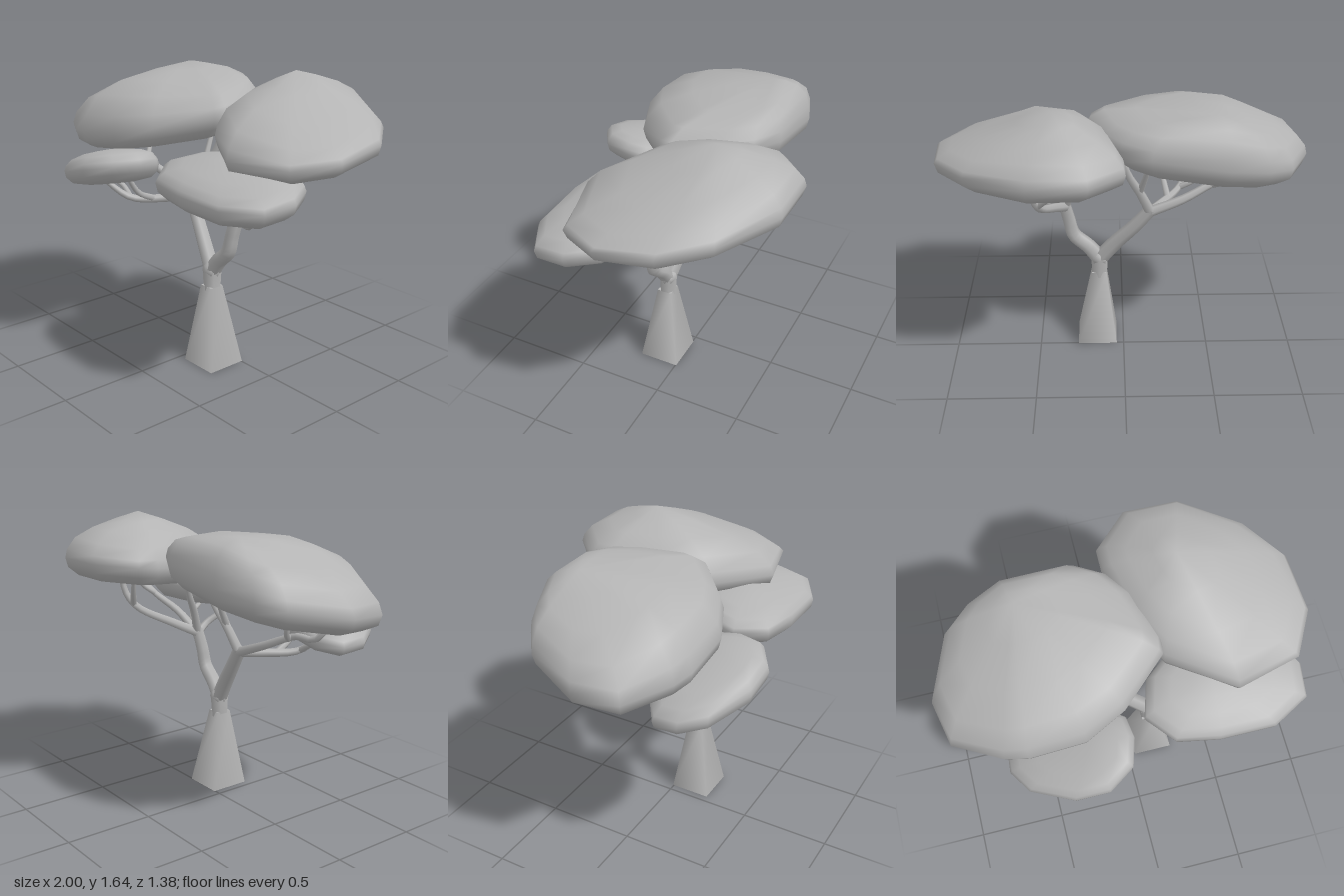
import * as THREE from 'three';
import { mergeVertices } from 'three/addons/utils/BufferGeometryUtils.js';

const grey = new THREE.MeshStandardMaterial({ color: 0xb4b4b4 });
grey.name = 'grey';

// Tapered limb along a path of [x, y, z] points, radius going from r0 to r1
function limb(name, points, r0, r1, sides = 6) {
  const curve = new THREE.CatmullRomCurve3(points.map(p => new THREE.Vector3(...p)), false, 'centripetal');
  const steps = points.length * 3;
  const geo = new THREE.TubeGeometry(curve, steps, 1, sides, false);
  const pos = geo.attributes.position;
  const v = new THREE.Vector3();
  for (let i = 0; i <= steps; i++) {
    const c = curve.getPointAt(i / steps);
    const r = THREE.MathUtils.lerp(r0, r1, i / steps);
    for (let j = 0; j <= sides; j++) {
      const k = i * (sides + 1) + j;
      v.fromBufferAttribute(pos, k).sub(c).multiplyScalar(r).add(c);
      pos.setXYZ(k, v.x, v.y, v.z);
    }
  }
  const mesh = new THREE.Mesh(geo, grey);
  mesh.name = name;
  return mesh;
}

// Flattened foliage cushion: the outline [x, z] is lofted over a tilted plane y = a + bx + cz.
// Each ring is [scale, height]; thin = how fast the dome thins away from its peak towards +x, -x, +z, -z.
const RINGS = [[0, -1], [0.5, -0.98], [0.84, -0.8], [0.97, -0.43], [1, 0], [0.97, 0.3], [0.86, 0.65], [0.62, 0.86], [0.3, 0.96], [0, 1]];
function canopy(name, { outline, plane: [a, b, c], peak, up, down, thin }) {
  const n = outline.length;
  const mid = [0, 1].map(k => outline.reduce((s, p) => s + p[k], 0) / n);
  const verts = [], index = [];
  RINGS.forEach(([s, h], r) => {
    const [cx, cz] = h > 0 ? peak : mid;
    outline.forEach(([px, pz], i) => {
      const x = cx + (px - cx) * s, z = cz + (pz - cz) * s;
      const dx = x - peak[0], dz = z - peak[1];
      const dome = up - Math.abs(dx) * thin[dx > 0 ? 0 : 1] - Math.abs(dz) * thin[dz > 0 ? 2 : 3];
      verts.push(x, a + b * x + c * z + h * (h > 0 ? dome : down), z);
      if (r === 0) return;
      const j = (i + 1) % n, lo = (r - 1) * n, hi = r * n;
      if (r > 1) index.push(lo + i, lo + j, hi + j);
      if (r < RINGS.length - 1) index.push(lo + i, hi + j, hi + i);
    });
  });
  // weld the poles so the shading is smooth across them
  let geo = new THREE.BufferGeometry();
  geo.setAttribute('position', new THREE.Float32BufferAttribute(verts, 3));
  geo.setIndex(index);
  geo = mergeVertices(geo, 1e-5);
  geo.computeVertexNormals();
  const mesh = new THREE.Mesh(geo, grey);
  mesh.name = name;
  return mesh;
}

export function createModel() {
  const tree = new THREE.Group();
  tree.name = 'tree';

  // Flared square trunk, leaning slightly
  const trunkGeo = new THREE.CylinderGeometry(0.06, 0.163, 0.46, 4);
  trunkGeo.rotateY(Math.PI / 4);
  trunkGeo.translate(0, 0.23, 0);
  const p = trunkGeo.attributes.position;
  for (let i = 0; i < p.count; i++) p.setX(i, p.getX(i) - 0.033 * p.getY(i));
  const trunk = new THREE.Mesh(trunkGeo, grey);
  trunk.name = 'trunk';
  trunk.position.set(0.157, 0, 0.11);
  tree.add(trunk);

  // Neck and rounded fork
  tree.add(limb('trunkNeck', [[0.142, 0.43, 0.108], [0.14, 0.49, 0.107], [0.14, 0.55, 0.106]], 0.049, 0.055));
  const fork = new THREE.Mesh(new THREE.SphereGeometry(0.055, 8, 6), grey);
  fork.name = 'fork';
  fork.position.set(0.14, 0.55, 0.106);
  tree.add(fork);

  // Two main boughs
  tree.add(limb('rightBough', [[0.14, 0.54, 0.106], [0.05, 0.66, 0.08], [-0.06, 0.79, 0.045], [-0.16, 0.92, 0.02]], 0.047, 0.036));
  tree.add(limb('leftBough', [[0.14, 0.54, 0.106], [0.2, 0.62, 0.11], [0.285, 0.7, 0.115], [0.31, 0.8, 0.11], [0.335, 0.92, 0.09]], 0.046, 0.036));

  // Branches and twigs of the right bough
  const rightBranches = [
    [[[-0.15, 0.9, 0.02], [-0.09, 1.04, -0.02], [-0.03, 1.16, -0.06], [0.03, 1.34, -0.1]], 0.03, 0.015],
    [[[-0.09, 1.05, -0.02], [-0.11, 1.14, -0.07], [-0.14, 1.29, -0.15]], 0.02, 0.012],
    [[[-0.15, 0.9, 0.02], [-0.33, 0.97, 0.03], [-0.54, 1.06, 0.08], [-0.7, 1.08, 0.08], [-0.77, 1.2, 0.12]], 0.03, 0.013],
    [[[-0.5, 1.04, 0.07], [-0.56, 1.1, 0.0], [-0.6, 1.22, -0.02]], 0.018, 0.012],
    [[[-0.15, 0.9, 0.02], [-0.22, 0.89, 0.14], [-0.33, 0.9, 0.31], [-0.42, 1.02, 0.44]], 0.03, 0.014],
    [[[-0.26, 0.89, 0.2], [-0.24, 0.95, 0.32], [-0.21, 1.08, 0.42]], 0.02, 0.012],
    [[[-0.33, 0.9, 0.31], [-0.42, 0.95, 0.3], [-0.52, 1.0, 0.34]], 0.018, 0.012],
  ];
  rightBranches.forEach(([pts, r0, r1], i) => tree.add(limb('rightBranch' + (i + 1), pts, r0, r1)));

  // Branches and twigs of the left bough
  const leftBranches = [
    [[[0.33, 0.9, 0.09], [0.38, 0.97, -0.05], [0.45, 1.08, -0.25], [0.48, 1.17, -0.31], [0.49, 1.29, -0.33]], 0.031, 0.016],
    [[[0.46, 1.1, -0.27], [0.38, 1.19, -0.32], [0.32, 1.3, -0.35]], 0.02, 0.012],
    [[[0.33, 0.9, 0.09], [0.28, 1.04, 0.03], [0.22, 1.17, -0.05], [0.18, 1.32, -0.1]], 0.026, 0.013],
    [[[0.33, 0.89, 0.09], [0.5, 0.92, 0.18], [0.64, 0.99, 0.27], [0.7, 1.08, 0.25]], 0.03, 0.014],
    [[[0.58, 0.96, 0.23], [0.62, 1.0, 0.32], [0.64, 1.08, 0.36]], 0.018, 0.012],
    [[[0.33, 0.89, 0.09], [0.45, 1.01, 0.04], [0.63, 1.13, -0.04], [0.7, 1.26, -0.08]], 0.027, 0.013],
    [[[0.6, 1.11, -0.03], [0.63, 1.17, -0.1], [0.62, 1.27, -0.14]], 0.018, 0.012],
    [[[0.33, 0.89, 0.09], [0.36, 0.94, 0.18], [0.32, 1.01, 0.27], [0.31, 1.09, 0.31]], 0.024, 0.013],
  ];
  leftBranches.forEach(([pts, r0, r1], i) => tree.add(limb('leftBranch' + (i + 1), pts, r0, r1)));

  // Four foliage cushions
  tree.add(canopy('rightUpperCanopy', {
    outline: [[-1, 0.04], [-0.95, 0.28], [-0.7, 0.42], [-0.58, 0.45], [-0.28, 0.45], [-0.06, 0.35], [0.19, 0.13],
      [0.2, 0.06], [0.12, -0.2], [0.02, -0.34], [-0.13, -0.43], [-0.53, -0.44], [-0.74, -0.37], [-0.87, -0.27]],
    plane: [1.4, 0.15, -0.12], peak: [-0.48, -0.24], up: 0.242, down: 0.14, thin: [0.17, 0.2, -0.1, 0],
  }));
  tree.add(canopy('leftUpperCanopy', {
    outline: [[0, -0.4], [0.07, -0.09], [0.2, 0.14], [0.54, 0.36], [0.88, 0.27], [1, 0.04],
      [0.97, -0.27], [0.8, -0.49], [0.48, -0.685], [0.18, -0.69], [0, -0.52]],
    plane: [1.345, -0.02, -0.11], peak: [0.36, -0.29], up: 0.275, down: 0.12, thin: [0.31, 0.3, 0.07, 0.2],
  }));
  tree.add(canopy('rightLowerCanopy', {
    outline: [[-0.7, 0.43], [-0.62, 0.56], [-0.4, 0.68], [-0.22, 0.69], [-0.08, 0.6], [-0.035, 0.45],
      [-0.05, 0.33], [-0.14, 0.25], [-0.32, 0.18], [-0.56, 0.2], [-0.69, 0.29]],
    plane: [1.136, 0.25, 0.1], peak: [-0.28, 0.46], up: 0.105, down: 0.09, thin: [0, 0.05, 0, 0],
  }));
  tree.add(canopy('leftLowerCanopy', {
    outline: [[0.04, 0.36], [0.17, 0.51], [0.4, 0.55], [0.7, 0.55], [0.9, 0.44], [0.92, 0.26],
      [0.83, 0.1], [0.6, -0.02], [0.3, 0], [0.1, 0.16]],
    plane: [1.19, -0.02, -0.1], peak: [0.42, 0.27], up: 0.115, down: 0.11, thin: [0.03, 0.05, 0.1, 0],
  }));

  return tree;
}
